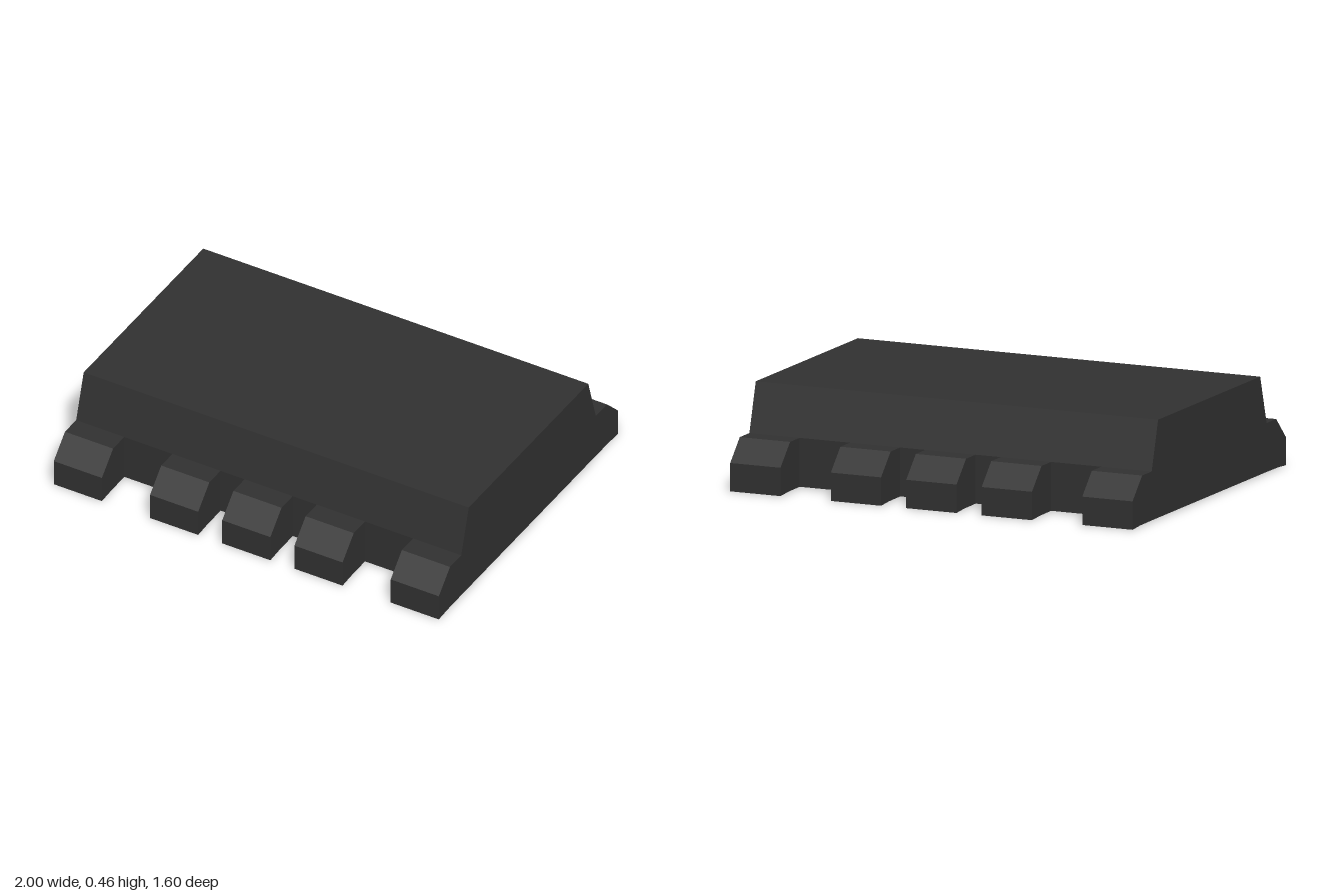
import * as THREE from 'three';

const material = new THREE.MeshStandardMaterial({ color: 0x303030, flatShading: true });

// Extrudes a [z, y] profile along x, centred on x = 0.
function prism(profile, width) {
  const shape = new THREE.Shape(profile.map(([z, y]) => new THREE.Vector2(z, y)));
  const geometry = new THREE.ExtrudeGeometry(shape, { depth: width, bevelEnabled: false });
  return geometry.translate(0, 0, -width / 2).rotateY(-Math.PI / 2);
}

export function createModel() {
  const model = new THREE.Group();
  model.name = 'trackLink';

  // Main block: straight lower walls, tapered upper part
  const body = new THREE.Mesh(prism([
    [-0.6, 0.006], [0.6, 0.006], [0.6, 0.23],
    [0.533, 0.455], [-0.533, 0.455], [-0.6, 0.23],
  ], 2), material);
  body.name = 'body';
  model.add(body);

  // Chamfered lugs along both long edges
  const lugGeometry = prism([
    [0.6, 0.006], [0.72, 0.005], [0.8, 0], [0.8, 0.13], [0.7, 0.23], [0.6, 0.23],
  ], 0.25);
  for (const [side, angle] of [['front', 0], ['back', Math.PI]]) {
    const lugs = new THREE.Group();
    lugs.name = side + 'Lugs';
    lugs.rotation.y = angle;
    for (const x of [-0.875, -0.375, 0, 0.375, 0.875]) {
      const lug = new THREE.Mesh(lugGeometry, material);
      lug.name = side + 'Lug';
      lug.position.x = x;
      lugs.add(lug);
    }
    model.add(lugs);
  }
  return model;
}
